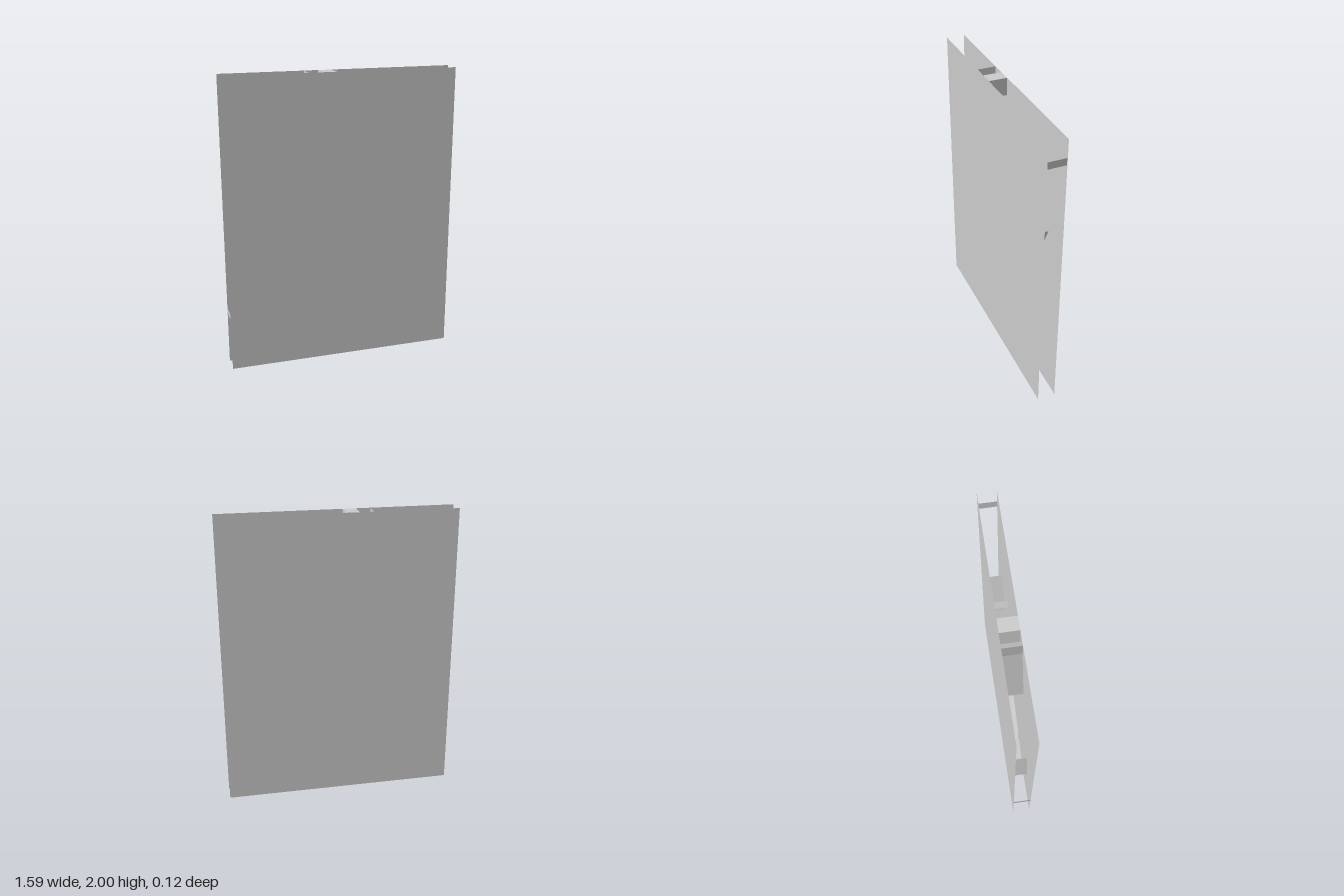
import * as THREE from 'three';

const W = 1.585, H = 2, HALF = 0.0615;

export function createModel() {
  const group = new THREE.Group();
  const material = new THREE.MeshStandardMaterial({
    color: 0xcccccc, flatShading: true, side: THREE.DoubleSide,
  });
  const add = (name, geometry) => {
    const mesh = new THREE.Mesh(geometry, material);
    mesh.name = name;
    group.add(mesh);
    return mesh;
  };

  // Two thin parallel sheets
  for (const [name, side] of [['frontSheet', 1], ['backSheet', -1]]) {
    const sheet = add(name, new THREE.PlaneGeometry(W, H));
    sheet.position.set(0, H / 2, side * HALF);
    if (side < 0) sheet.rotation.y = Math.PI;
  }

  // A ribbon spans the gap between the sheets along a path of [x, y] points
  const ribbon = (name, path) => {
    const positions = [], index = [];
    path.forEach(([x, y], i) => {
      positions.push(x, y, HALF, x, y, -HALF);
      if (i > 0) {
        const a = 2 * i - 2;
        index.push(a, a + 2, a + 1, a + 1, a + 2, a + 3);
      }
    });
    const geometry = new THREE.BufferGeometry();
    geometry.setAttribute('position', new THREE.Float32BufferAttribute(positions, 3));
    geometry.setIndex(index);
    geometry.computeVertexNormals();
    add(name, geometry);
  };

  // Short strips on the side edges
  ribbon('leftEdgeStrip', [[0.785, 1.83], [0.79, 1.88]]);
  ribbon('rightEdgeStrip', [[-0.792, 0.365], [-0.792, 0.405]]);

  // Ribs reaching the top edge
  ribbon('topBridge', [[-0.15, 1.88], [-0.13, 2], [-0.04, 2], [-0.045, 1.88]]);
  ribbon('topRib', [[-0.32, 1.435], [-0.225, 1.88], [-0.225, 2]]);

  // Ribs near the bottom edge
  ribbon('bottomRib', [[-0.5, 0], [-0.49, 0], [-0.4, 0.08], [-0.26, 0.17]]);
  [[0.06, 0.1], [-0.09, -0.05], [-0.28, -0.26]].forEach(([x1, x2], i) =>
    ribbon('bottomTab' + (i + 1), [[x1, 0.05], [x2, 0.05]]));

  // Inner ribs holding the sheets apart
  [
    [[-0.245, 0.2], [0.28, 0.5], [0.02, 0.73]],
    [[-0.62, 0.5], [-0.56, 0.73]],
    [[0.29, 0.65], [0.47, 0.97], [0.6, 1.255]],
    [[0.33, 1.315], [0.36, 1.355]],
  ].forEach((path, i) => ribbon('innerRib' + (i + 1), path));

  return group;
}
